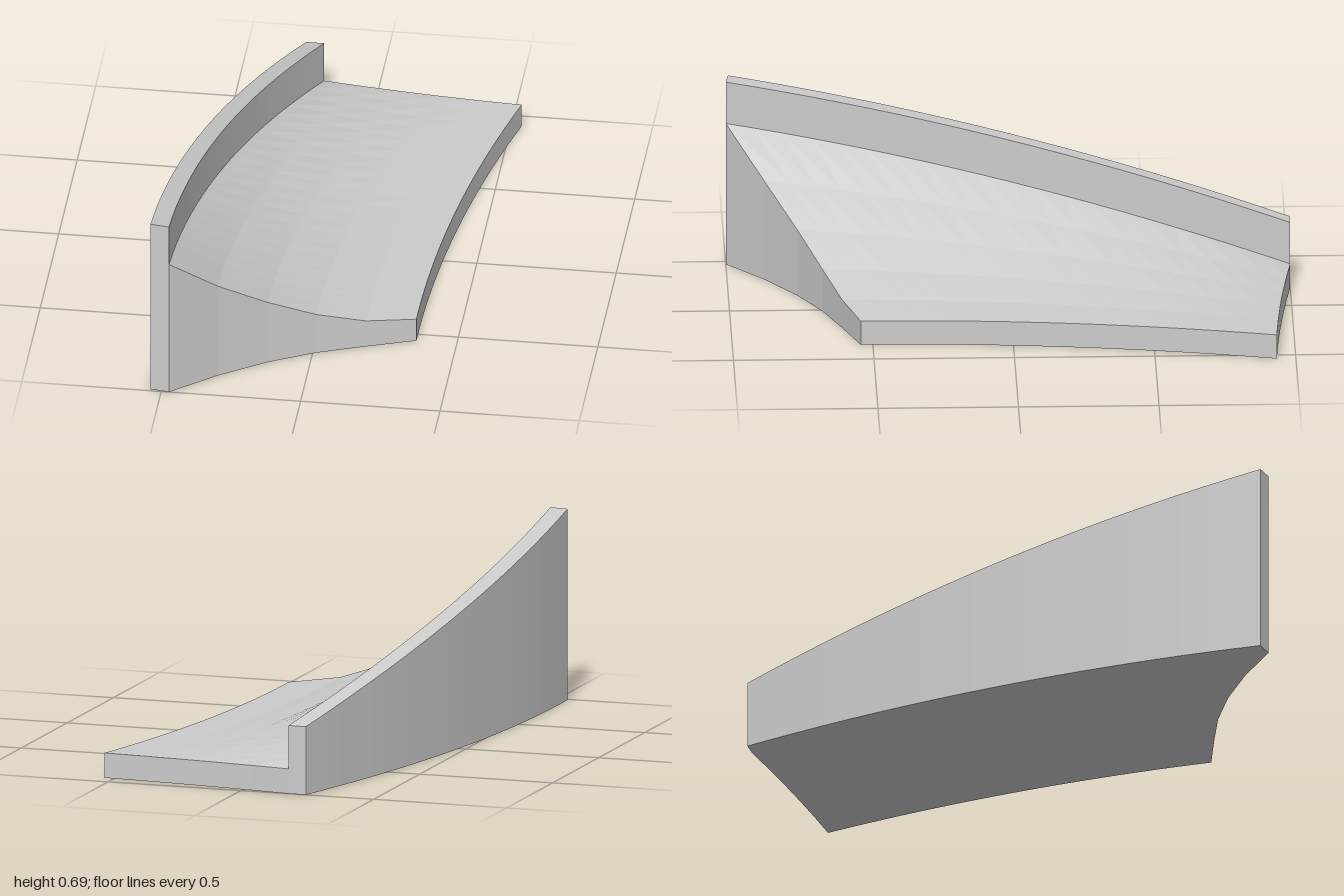
import * as THREE from 'three';

const STEPS = 20;
const material = new THREE.MeshStandardMaterial({ color: 0xcccccc, flatShading: true });

// Height gain from the back (t = 0) to the front (t = 1), slightly bowed
const rise = (t) => t + 0.16 * t * (1 - t);

// A lengthwise line: plan points at back and front, sideways bow, heights at both ends
function column(back, front, bow, hBack, hFront) {
  return {
    height: (t) => hBack + (hFront - hBack) * rise(t),
    at(t, y) {
      const x = back[0] + (front[0] - back[0]) * t + bow * 4 * t * (1 - t);
      return [x, y, back[1] + (front[1] - back[1]) * t];
    },
  };
}

// Solid between neighbouring columns, listed from right (-x) to left (+x);
// rightSide can be left out, leftLow is the lower edge of the left side
function loft(name, columns, { rightSide = true, leftLow = () => 0 } = {}) {
  const pos = [];
  const quad = (a, b, c, d) => pos.push(...a, ...b, ...c, ...a, ...c, ...d);
  const top = (c, t) => c.at(t, c.height(t));
  const low = (c, t) => c.at(t, 0);
  const first = columns[0];
  const last = columns[columns.length - 1];

  for (let i = 0; i < STEPS; i++) {
    const t0 = i / STEPS, t1 = (i + 1) / STEPS;
    for (let j = 0; j + 1 < columns.length; j++) {
      const a = columns[j], b = columns[j + 1];
      quad(top(a, t1), top(b, t1), top(b, t0), top(a, t0));
      quad(low(a, t0), low(b, t0), low(b, t1), low(a, t1));
    }
    if (rightSide) quad(low(first, t0), low(first, t1), top(first, t1), top(first, t0));
    quad(last.at(t1, leftLow(t1)), last.at(t0, leftLow(t0)), top(last, t0), top(last, t1));
  }
  // End faces
  for (let j = 0; j + 1 < columns.length; j++) {
    const a = columns[j], b = columns[j + 1];
    quad(low(a, 1), low(b, 1), top(b, 1), top(a, 1));
    quad(low(b, 0), low(a, 0), top(a, 0), top(b, 0));
  }
  const geometry = new THREE.BufferGeometry();
  geometry.setAttribute('position', new THREE.Float32BufferAttribute(pos, 3));
  geometry.computeVertexNormals();
  const mesh = new THREE.Mesh(geometry, material);
  mesh.name = name;
  return mesh;
}

export function createModel() {
  const group = new THREE.Group();
  group.name = 'curvedRamp';

  // Front edge of the ramp bed: x, z, height
  const frontEdge = [
    [-0.472, 1.0, 0.535], [-0.315, 0.868, 0.375], [-0.15, 0.755, 0.25],
    [0.012, 0.67, 0.16], [0.182, 0.605, 0.107], [0.355, 0.543, 0.09],
  ];
  const bed = frontEdge.map(([x, z, h], i) => {
    const s = i / (frontEdge.length - 1);
    const back = [-0.18 + 0.717 * s, -1 + 0.068 * s + 0.03 * s * (1 - s)];
    return column(back, [x, z], -0.081 + 0.034 * s, 0.09, h);
  });
  group.add(loft('rampBed', bed, { rightSide: false }));

  // Raised wall along the right edge, rising from the bed
  const wall = [
    column([-0.245, -1], [-0.54, 0.99], -0.081, 0.247, 0.692),
    column([-0.18, -1], [-0.472, 1.0], -0.081, 0.247, 0.692),
  ];
  group.add(loft('sideWall', wall, { leftLow: bed[0].height }));

  return group;
}
